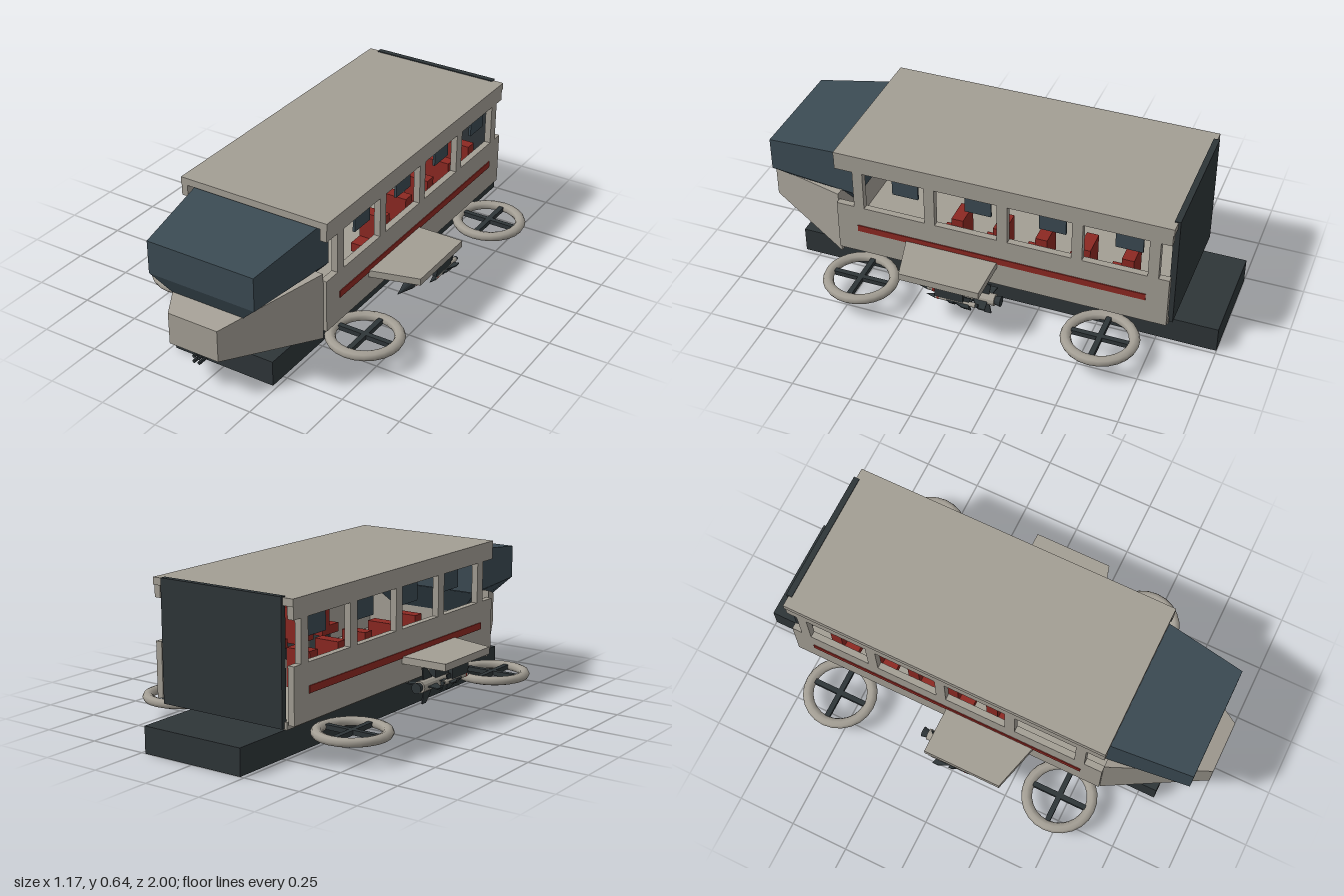
import * as THREE from 'three';

const mat = (color) => new THREE.MeshStandardMaterial({ color, flatShading: true });

export function createModel() {
  const root = new THREE.Group();
  const hull = mat(0xa39e94), dark = mat(0x2e3538), glass = mat(0x3b4a53), red = mat(0x8c2822);
  const ringMat = new THREE.MeshStandardMaterial({ color: 0xa39e94 });

  const add = (name, geo, material, parent = root) => {
    const m = new THREE.Mesh(geo, material);
    m.name = name;
    parent.add(m);
    return m;
  };
  // Box given by its min and max on each axis
  const box = (name, material, x0, x1, y0, y1, z0, z1, parent = root) => {
    const m = add(name, new THREE.BoxGeometry(x1 - x0, y1 - y0, z1 - z0), material, parent);
    m.position.set((x0 + x1) / 2, (y0 + y1) / 2, (z0 + z1) / 2);
    return m;
  };
  // Box whose corners are moved by a rule; the rule gets the sign of each axis
  const shaped = (name, material, rule) => {
    const g = new THREE.BoxGeometry(2, 2, 2), p = g.attributes.position;
    for (let i = 0; i < p.count; i++) p.setXYZ(i, ...rule(p.getX(i), p.getY(i), p.getZ(i)));
    g.computeVertexNormals();
    return add(name, g, material);
  };

  // Lower sled, floor, roof and rear door
  box('sled', dark, -0.232, 0.232, 0, 0.11, -1, 0.82);
  box('floor', hull, -0.3, 0.3, 0.14, 0.17, -0.81, 0.6);
  box('roof', hull, -0.337, 0.337, 0.61, 0.64, -0.815, 0.6);
  box('rearDoor', dark, -0.29, 0.29, 0.145, 0.644, -0.825, -0.8);

  // Nose, canopy and the dark wedge joining them
  shaped('nose', hull, (x, y, z) => z > 0
    ? [x * 0.113, y > 0 ? 0.312 : 0.175, 1]
    : [x * 0.32, y > 0 ? 0.418 : 0.123, 0.6]);
  shaped('canopy', glass, (x, y, z) => z > 0
    ? [x * 0.242, y > 0 ? 0.555 : 0.412, 0.94]
    : [x * 0.293, y > 0 ? 0.609 : 0.417, 0.52]);
  shaped('canopyBase', glass, (x, y, z) => y > 0
    ? [x * (z > 0 ? 0.242 : 0.29), 0.413, z > 0 ? 0.94 : 0.53]
    : [x * (z > 0 ? 0.13 : 0.18), 0.3, z > 0 ? 0.888 : 0.6]);

  // Gun under the nose
  box('gunMount', dark, -0.027, 0.023, 0.108, 0.155, 0.78, 0.855);
  box('gunFeed', hull, -0.058, -0.028, 0.108, 0.155, 0.79, 0.84);
  for (const x of [-0.014, 0.01]) for (const y of [0.12, 0.143]) {
    const barrel = add('gunBarrel', new THREE.CylinderGeometry(0.007, 0.007, 0.15, 8), dark);
    barrel.rotation.x = Math.PI / 2;
    barrel.position.set(x, y, 0.91);
  }

  // A missile pointing to +z, with rear fins and optional canard fins
  const missile = (name, r, front, back, span, parent) => {
    const g = new THREE.Group();
    g.name = name;
    parent.add(g);
    const tip = r * 4, len = front - tip - back;
    const along = (part, geo, m, z) => {
      const mesh = add(part, geo, m, g);
      mesh.rotation.x = Math.PI / 2;
      mesh.position.z = z;
    };
    along('missileBody', new THREE.CylinderGeometry(r, r, len, 12), hull, back + len / 2);
    along('missileTip', new THREE.ConeGeometry(r, tip, 12), dark, front - tip / 2);
    along('missileBand', new THREE.CylinderGeometry(r * 1.08, r * 1.08, r * 0.7, 12), red, front - tip - r * 1.2);
    along('missileNozzle', new THREE.CylinderGeometry(r * 0.7, r * 0.9, r, 12), dark, back - r * 0.5);
    const fin = (z, s, chord) => {
      const shape = new THREE.Shape([[0, 0], [0, chord], [s, chord * 0.2], [s, -chord * 0.15]]
        .map(([a, b]) => new THREE.Vector2(a, b)));
      const geo = new THREE.ExtrudeGeometry(shape, { depth: 0.005, bevelEnabled: false });
      geo.translate(0, 0, -0.0025).rotateX(Math.PI / 2);
      for (let i = 0; i < 4; i++) {
        const f = add('missileFin', geo, dark, g);
        f.rotation.z = i * Math.PI / 2;
        f.position.z = z;
      }
    };
    fin(back + 0.03, span, 0.08);
    fin(back + len * 0.55, span * 0.65, 0.045);
    return g;
  };

  const ringGeo = new THREE.TorusGeometry(0.137, 0.0225, 8, 24).rotateX(Math.PI / 2).scale(1, 0.85, 1);

  for (const s of [1, -1]) {
    const side = new THREE.Group();
    side.name = s > 0 ? 'leftSide' : 'rightSide';
    root.add(side);
    const sbox = (name, m, a, b, ...rest) =>
      box(name, m, Math.min(s * a, s * b), Math.max(s * a, s * b), ...rest, side);

    // Side walls with open windows, pillars and stripe
    sbox('lowerWall', hull, 0.307, 0.335, 0.16, 0.387, -0.81, 0.6);
    sbox('upperWall', hull, 0.307, 0.335, 0.56, 0.611, -0.81, 0.6);
    sbox('stripe', red, 0.33, 0.339, 0.267, 0.296, -0.72, 0.51);
    for (let i = 0; i < 5; i++) {
      const z = 0.5 - i * 0.311;
      sbox('pillar', hull, 0.307, 0.335, 0.385, 0.562, z - 0.022, z + 0.022);
    }
    for (let i = 0; i < 4; i++) {
      const z = 0.303 - i * 0.313;
      sbox('windowScreen', glass, 0.3, 0.31, 0.475, 0.562, z - 0.056, z + 0.056);
    }
    // Seats
    for (let i = 0; i < 5; i++) {
      const z = 0.087 - i * 0.179;
      sbox('seatCushion', red, 0.18, 0.29, 0.25, 0.29, z - 0.02, z + 0.09);
      sbox('seatBack', red, 0.18, 0.29, 0.25, 0.405, z - 0.025, z + 0.025);
      sbox('seatFoot', dark, 0.2, 0.27, 0.165, 0.25, z, z + 0.06);
    }

    // Stub wing, tapered toward the tip
    const wing = new THREE.Shape([[0.32, -0.1], [0.54, -0.1], [0.54, 0.24], [0.32, 0.3]]
      .map(([x, z]) => new THREE.Vector2(s * x, -z)));
    const wingGeo = new THREE.ExtrudeGeometry(wing, { depth: 0.03, bevelEnabled: false });
    add('wing', wingGeo.rotateX(-Math.PI / 2), hull, side).position.y = 0.244;

    // Pylons and missiles
    sbox('pylon', dark, 0.427, 0.457, 0.19, 0.246, -0.04, 0.15);
    sbox('smallPylon', dark, 0.51, 0.53, 0.197, 0.246, -0.03, 0.09);
    missile('missile', 0.025, 0.25, -0.135, 0.074, side).position.set(s * 0.442, 0.172, 0);
    missile('smallMissile', 0.01, 0.13, -0.08, 0.03, side).position.set(s * 0.52, 0.19, 0);

    // Hover rings with crossed spokes
    for (const z of [0.465, -0.57]) {
      const ring = new THREE.Group();
      ring.name = z > 0 ? 'frontHoverRing' : 'rearHoverRing';
      ring.position.set(s * 0.425, 0.097, z);
      side.add(ring);
      add('ring', ringGeo, ringMat, ring);
      box('spoke', dark, -0.125, 0.125, -0.01, 0.01, -0.011, 0.011, ring);
      box('spoke', dark, -0.011, 0.011, -0.01, 0.01, -0.125, 0.125, ring);
    }
  }
  return root;
}
